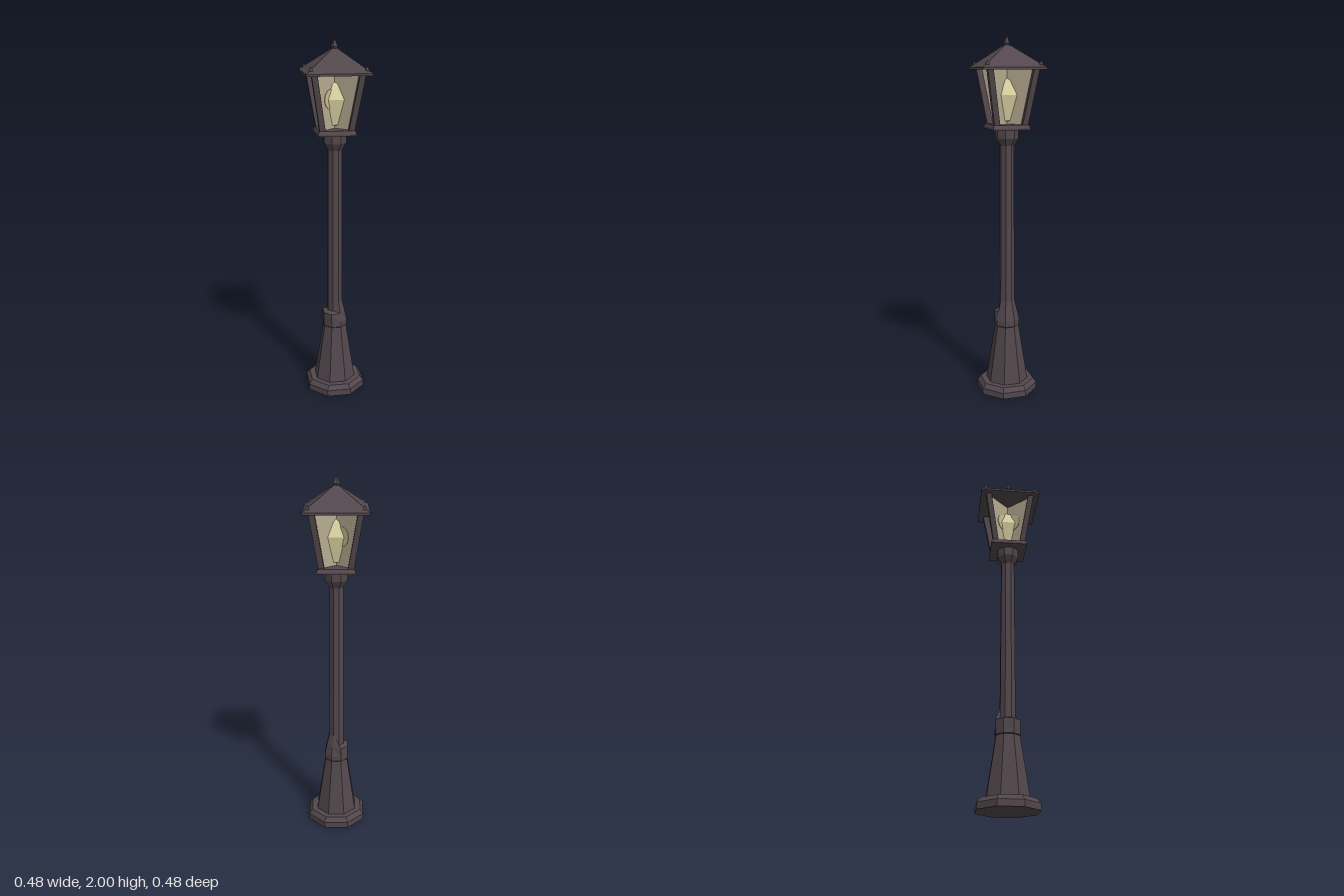
import * as THREE from 'three';

const paint = (name, color, side = THREE.FrontSide) => {
  const material = new THREE.MeshStandardMaterial({ color, side });
  material.name = name;
  return material;
};
const metal = paint('dark iron', 0x52474c);
const glassMat = paint('warm glass', 0xb8ad92, THREE.DoubleSide);
const glowMat = paint('soft glow', 0xc8be96);
const bulbMat = paint('pale yellow', 0xdad2a2);

// Faceted solid turned from rising [radius, height] pairs; rule may move each vertex
function turned(name, profile, sides, material, start = 0, rule = null) {
  const points = profile.map(([r, y]) => new THREE.Vector2(r, y));
  const geometry = new THREE.LatheGeometry(points, sides, start).toNonIndexed();
  if (rule) {
    const p = geometry.attributes.position;
    const v = new THREE.Vector3();
    for (let i = 0; i < p.count; i++) {
      rule(v.fromBufferAttribute(p, i));
      p.setXYZ(i, v.x, v.y, v.z);
    }
  }
  geometry.computeVertexNormals();
  const mesh = new THREE.Mesh(geometry, material);
  mesh.name = name;
  return mesh;
}

export function createModel() {
  const model = new THREE.Group();
  model.name = 'streetLamp';

  // Octagonal parts have flats towards the front; k turns flat distance into corner radius
  const k = 1 / Math.cos(Math.PI / 8);
  const octagon = (name, profile, rule) =>
    model.add(turned(name, profile.map(([r, y]) => [r * k, y]), 8, metal, Math.PI / 8, rule));

  octagon('foot', [[0, 0], [0.16, 0], [0.16, 0.035], [0.142, 0.06], [0, 0.06]]);
  octagon('pedestal', [[0.111, 0.055], [0.062, 0.39], [0, 0.39]]);
  // Collar: a square shoulder on the back right, a long taper on the front left
  octagon('collar', [[0.058, 0.38], [0.066, 0.39], [0.066, 0.42], [0.056, 0.47], [0.038, 0.55]], (v) => {
    if (v.x + v.z > 0 || v.y < 0.46) return;
    if (v.y > 0.5) v.y = 0.482;
    else v.set(v.x * 1.18, v.y, v.z * 1.18);
  });
  octagon('pole', [[0.041, 0.45], [0.037, 1.43]]);
  octagon('capital', [[0, 1.41], [0.038, 1.415], [0.06, 1.455], [0.06, 1.51], [0, 1.51]]);

  // Square lantern, with its corners on the axes
  const lantern = new THREE.Group();
  lantern.name = 'lantern';
  model.add(lantern);
  lantern.add(turned('lanternFloor',
    [[0, 1.505], [0.146, 1.505], [0.146, 1.515], [0.134, 1.532], [0, 1.532]], 4, metal));

  // Two crossed glass sheets running from corner to corner, each with a round glow
  const sheet = new THREE.Shape([[-0.112, 1.53], [0.112, 1.53], [0.18, 1.822], [-0.18, 1.822]]
    .map(([x, y]) => new THREE.Vector2(x, y)));
  const disc = new THREE.CylinderGeometry(0.052, 0.052, 0.006, 20);
  disc.rotateX(Math.PI / 2);
  disc.translate(-0.038, 1.69, 0);
  for (const angle of [0, -Math.PI / 2]) {
    const pane = new THREE.Group();
    pane.name = 'glassPane';
    const glass = new THREE.Mesh(new THREE.ShapeGeometry(sheet), glassMat);
    glass.name = 'glass';
    const glow = new THREE.Mesh(disc, glowMat);
    glow.name = 'glow';
    pane.add(glass, glow);
    pane.rotation.y = angle;
    lantern.add(pane);
  }

  // Leaning corner bars and small roof finials
  for (let i = 0; i < 4; i++) {
    const angle = i * Math.PI / 2;
    const bar = turned('cornerBar', [[0.022, 1.525], [0.022, 1.825]], 4, metal, 0, (v) => {
      v.z += THREE.MathUtils.mapLinear(v.y, 1.525, 1.825, 0.108, 0.177);
    });
    bar.rotation.y = angle;
    lantern.add(bar);

    const tip = turned('cornerFinial', [[0.011, 1.835], [0.013, 1.848], [0, 1.868]], 4, metal);
    tip.position.set(0.203 * Math.sin(angle), 0, 0.203 * Math.cos(angle));
    lantern.add(tip);
  }

  // Bulb
  lantern.add(turned('bulb',
    [[0, 1.545], [0.02, 1.55], [0.063, 1.687], [0.02, 1.765], [0, 1.775]], 4, bulbMat));

  // Roof and its top finial
  lantern.add(turned('roof',
    [[0, 1.82], [0.241, 1.82], [0.241, 1.832], [0.215, 1.844], [0.018, 1.948], [0, 1.948]], 4, metal));
  lantern.add(turned('topFinial', [[0.013, 1.94], [0.021, 1.956], [0, 2]], 5, metal));

  return model;
}
